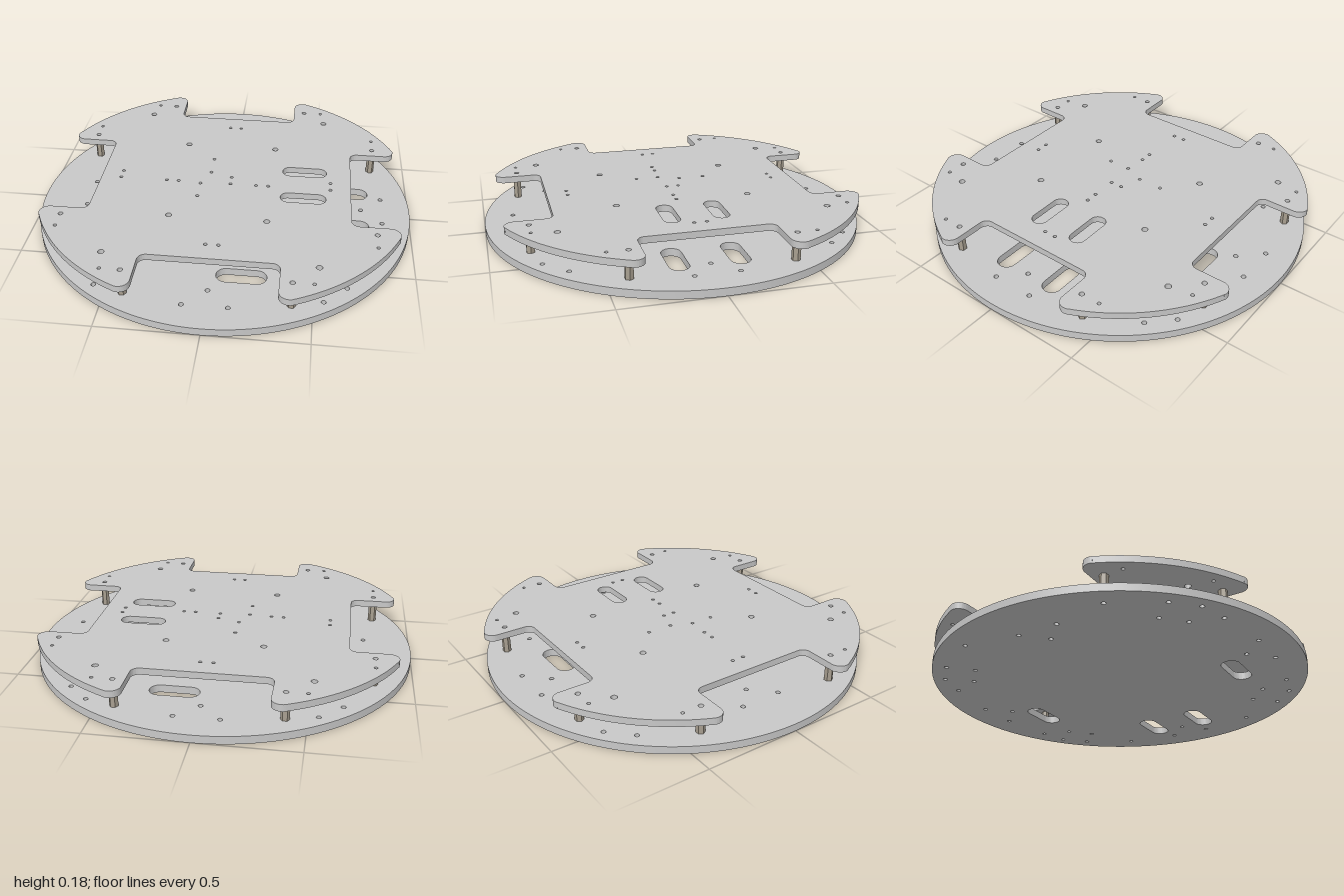
import * as THREE from 'three';
import { toCreasedNormals } from 'three/addons/utils/BufferGeometryUtils.js';

const PI = Math.PI;
const BASE_TOP = 0.04, DECK_BOTTOM = 0.145, DECK_TOP = 0.18;

// Round hole; shape x, y stand for model x, z
function roundHole(x, z, r, sides = 16) {
  const pts = [];
  for (let i = 0; i < sides; i++) {
    const a = (i / sides) * 2 * PI;
    pts.push(new THREE.Vector2(x + r * Math.cos(a), z + r * Math.sin(a)));
  }
  return new THREE.Path(pts);
}

// Slot with round ends, lying along x
function slotHole(x, z, length, width) {
  const r = width / 2, h = length / 2 - r;
  const p = new THREE.Path();
  p.absarc(x + h, z, r, -PI / 2, PI / 2, false);
  p.absarc(x - h, z, r, PI / 2, 1.5 * PI, false);
  p.closePath();
  return new THREE.Path(p.getPoints(10));
}

// Mirror a point into all four quadrants
const mirror4 = (x, z) => [[x, z], [-x, z], [x, -z], [-x, -z]];

// Horizontal plate from a plan shape
function plate(shape, bottom, top, material, name, curveSegments) {
  const geo = new THREE.ExtrudeGeometry(shape, { depth: top - bottom, bevelEnabled: false, curveSegments });
  geo.rotateX(PI / 2);
  geo.translate(0, top, 0);
  const mesh = new THREE.Mesh(toCreasedNormals(geo, 0.6), material);
  mesh.name = name;
  return mesh;
}

// Deck outline: a disc with four rounded notches
function deckShape() {
  const s = new THREE.Shape();
  const tip = Math.atan2(0.39, 0.867);
  for (let k = 0; k < 4; k++) {
    const q = (k * PI) / 2, c = Math.cos(q), n = Math.sin(q);
    const arc = (x, y, r, a0, a1, cw) =>
      s.absarc(x * c - y * n, x * n + y * c, r, a0 + q, a1 + q, cw);
    arc(0.715, 0.30, 0.04, PI, PI / 2, true);
    arc(0.867, 0.39, 0.05, -PI / 2, tip, false);
    arc(0, 0, 1, tip, PI / 2 - tip, false);
    arc(0.39, 0.867, 0.05, PI / 2 - tip, PI, false);
    arc(0.30, 0.715, 0.04, 0, -PI / 2, true);
  }
  s.closePath();
  return s;
}

export function createModel() {
  const plateGrey = new THREE.MeshStandardMaterial({ color: 0xc8c8c8 });
  plateGrey.name = 'plateGrey';
  const standoffMetal = new THREE.MeshStandardMaterial({ color: 0xa89f90 });
  standoffMetal.name = 'standoffMetal';

  const group = new THREE.Group();
  group.name = 'twoDeckChassis';
  const posts = [...mirror4(0.4, 0.8), ...mirror4(0.8, 0.4)];

  // Base disc with slots and mounting holes
  const base = new THREE.Shape();
  base.absarc(0, 0, 1, 0, 2 * PI, false);
  for (const s of [-1, 1]) {
    base.holes.push(slotHole(0.655, s * 0.15, 0.25, 0.1));
    base.holes.push(slotHole(0.15, s * 0.62, 0.25, 0.1));
  }
  const baseHoles = [
    ...posts, ...mirror4(0.11, 0.85),
    [0, 0.74], [0, -0.74], [0.74, 0], [-0.64, 0],
    [0.85, 0.11], [0.85, -0.11], [-0.75, 0.11], [-0.75, -0.11],
    ...mirror4(0.45, 0.645), ...mirror4(0.55, 0.76),
    ...mirror4(0.556, 0.545), ...mirror4(0.66, 0.65),
  ];
  for (const [x, z] of baseHoles) base.holes.push(roundHole(x, z, 0.012));
  group.add(plate(base, 0, BASE_TOP, plateGrey, 'basePlate', 96));

  // Notched upper deck with slots and mounting holes
  const deck = deckShape();
  for (const s of [-1, 1]) deck.holes.push(slotHole(0.425, s * 0.125, 0.24, 0.085));
  const deckHoles = [
    [0.013, posts],
    [0.016, [...mirror4(0.52, 0.68), ...mirror4(0.25, 0.35)]],
    [0.009, [
      ...mirror4(0.5, 0.8), ...mirror4(0.8, 0.5),
      ...mirror4(0.032, 0.567), ...mirror4(0.567, 0.032),
      [-0.085, -0.205], [-0.085, -0.07], [-0.315, 0.032], [-0.25, 0.032],
      [-0.13, 0.043], [-0.13, 0.163], [0.032, 0.032], [0.032, -0.032],
      [0.17, 0.032], [0.235, 0.032],
    ]],
  ];
  for (const [r, list] of deckHoles)
    for (const [x, z] of list) deck.holes.push(roundHole(x, z, r));
  group.add(plate(deck, DECK_BOTTOM, DECK_TOP, plateGrey, 'upperDeck', 24));

  // Hollow hexagonal standoffs between the plates
  const hex = new THREE.Shape(roundHole(0, 0, 0.022, 6).getPoints());
  hex.holes.push(roundHole(0, 0, 0.012));
  posts.forEach(([x, z], i) => {
    const post = plate(hex, BASE_TOP, DECK_BOTTOM, standoffMetal, `standoff${i + 1}`, 12);
    post.position.set(x, 0, z);
    group.add(post);
  });

  return group;
}
